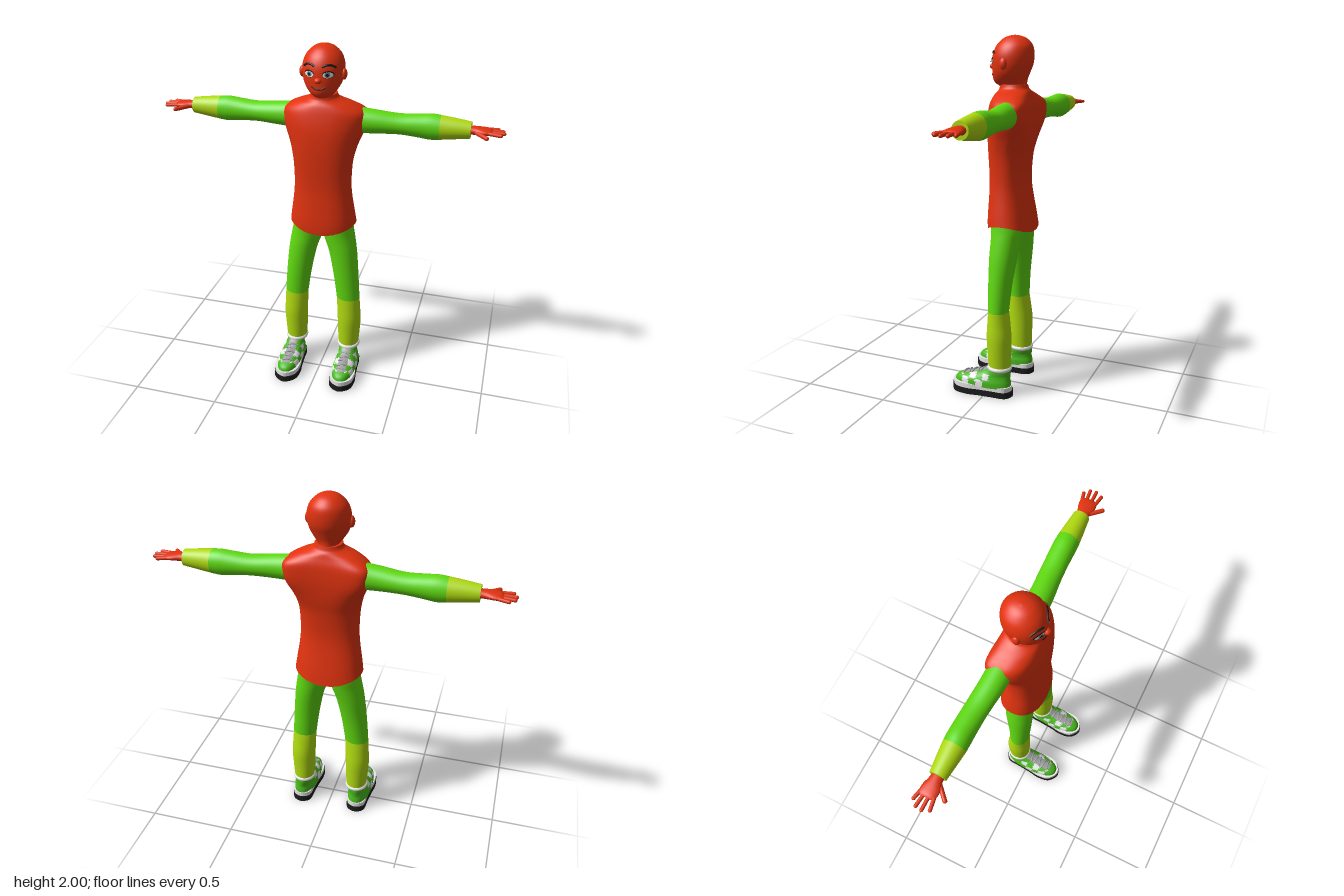
import * as THREE from 'three';

const mat = (name, color) => Object.assign(new THREE.MeshStandardMaterial({ color }), { name });

// Smoothly subdivide rings of [y, centreX, centreZ, radiusX, radiusZ, roundness]
function refine(rings, steps = 5) {
  const out = [], at = (i) => rings[Math.min(Math.max(i, 0), rings.length - 1)];
  for (let i = 0; i < rings.length - 1; i++) {
    for (let s = 0; s < steps; s++) {
      const t = s / steps;
      out.push(at(i).map((b, k) => {
        const a = at(i - 1)[k], c = at(i + 1)[k], d = at(i + 2)[k];
        return b + 0.5 * t * (c - a + t * (2 * a - 5 * b + 4 * c - d + t * (3 * (b - c) + d - a)));
      }));
    }
  }
  out.push(at(rings.length - 1));
  return out;
}

// Closed skin through rings listed from low to high; paint picks a material per quad
function loft(rings, { seg = 32, steps = 5, paint = null, bend = null } = {}) {
  const fine = refine(rings, steps), pos = [], faces = [[], [], []];
  const power = (v, n) => Math.sign(v) * Math.abs(v) ** (2 / n);
  const addRing = ([y, cx, cz, rx, rz, n = 2]) => {
    for (let j = 0; j < seg; j++) {
      const a = (j / seg) * Math.PI * 2;
      const p = new THREE.Vector3(cx + rx * power(Math.cos(a), n), y, cz + rz * power(Math.sin(a), n));
      if (bend) bend(p);
      pos.push(p.x, p.y, p.z);
    }
  };
  fine.forEach(addRing);
  const vert = (i) => new THREE.Vector3().fromArray(pos, i * 3);
  for (let i = 0; i < fine.length - 1; i++) {
    for (let j = 0; j < seg; j++) {
      const a = i * seg + j, b = i * seg + (j + 1) % seg, c = a + seg, d = b + seg;
      const m = paint ? paint(vert(a).add(vert(d)).multiplyScalar(0.5)) : 0;
      faces[m].push(a, c, b, b, c, d);
    }
  }
  for (const top of [false, true]) {
    const ring = fine[top ? fine.length - 1 : 0], base = pos.length / 3;
    addRing(ring);
    pos.push(ring[1], pos[base * 3 + 1], ring[2]);
    for (let j = 0; j < seg; j++) {
      const a = base + j, b = base + (j + 1) % seg;
      faces[0].push(base + seg, top ? b : a, top ? a : b);
    }
  }
  const g = new THREE.BufferGeometry();
  g.setAttribute('position', new THREE.Float32BufferAttribute(pos, 3));
  g.setIndex(faces.flat());
  if (paint) {
    let start = 0;
    faces.forEach((f, m) => { g.addGroup(start, f.length, m); start += f.length; });
  }
  g.computeVertexNormals();
  return g;
}

function mirrored(geo) {
  const g = geo.clone().scale(-1, 1, 1);
  const idx = g.index ? Array.from(g.index.array) : Array.from({ length: g.attributes.position.count }, (_, i) => i);
  for (let i = 0; i < idx.length; i += 3) [idx[i + 1], idx[i + 2]] = [idx[i + 2], idx[i + 1]];
  g.setIndex(idx);
  return g;
}

const ball = (x, y, z, sx, sy, sz) => new THREE.SphereGeometry(1, 24, 16).scale(sx, sy, sz).translate(x, y, z);
const tube = (pts, r) => new THREE.TubeGeometry(new THREE.CatmullRomCurve3(pts), 16, r, 8);

export function createModel() {
  const model = new THREE.Group();
  model.name = 'figure';
  const red = mat('red', 0xe2330f), green = mat('green', 0x60da10), lime = mat('lime', 0xb0da10);
  const shoeGreen = mat('shoe green', 0x48b81c), white = mat('white', 0xe8e8e8);
  const grey = mat('grey', 0xa0a0a0), black = mat('black', 0x1c1c1c), iris = mat('iris grey', 0x6a7880);

  const add = (name, geo, material) => {
    const m = new THREE.Mesh(geo, material);
    m.name = name;
    model.add(m);
  };
  const pair = (name, geo, material) => {
    add('left ' + name, geo, material);
    add('right ' + name, mirrored(geo), material);
  };

  // Torso with a curved hem and shoulders swept back
  add('shirt', loft([
    [0.99, 0, -0.088, 0.19, 0.126, 2.3], [1.05, 0, -0.082, 0.182, 0.122, 2.3], [1.2, 0, -0.072, 0.162, 0.102, 2.3],
    [1.35, 0, -0.072, 0.165, 0.108, 2.3], [1.45, 0, -0.078, 0.185, 0.118, 2.5], [1.53, 0, -0.082, 0.216, 0.121, 2.8],
    [1.59, 0, -0.085, 0.23, 0.118, 3], [1.645, 0, -0.088, 0.222, 0.11, 3], [1.685, 0, -0.088, 0.16, 0.098, 2.5],
    [1.708, 0, -0.09, 0.105, 0.088, 2], [1.722, 0, -0.088, 0.08, 0.08, 2], [1.742, 0, -0.086, 0.072, 0.076, 2],
  ], {
    seg: 48,
    bend: (p) => {
      const low = 1 - THREE.MathUtils.smoothstep(p.y, 0.99, 1.2);
      p.z -= 0.045 * (p.x / 0.23) ** 2 * THREE.MathUtils.smoothstep(p.y, 1.35, 1.55);
      p.y -= 0.048 * Math.max(0, 1 - (p.x / 0.19) ** 2) * low;
    },
  }), red);

  // Head and neck
  const headRings = [
    [1.69, 0, -0.086, 0.066, 0.072], [1.73, 0, -0.085, 0.06, 0.076], [1.747, 0, -0.071, 0.062, 0.088],
    [1.77, 0, -0.066, 0.08, 0.095], [1.805, 0, -0.071, 0.1, 0.102], [1.85, 0, -0.079, 0.111, 0.111],
    [1.9, 0, -0.084, 0.111, 0.111], [1.945, 0, -0.09, 0.095, 0.098], [1.978, 0, -0.092, 0.064, 0.069],
    [1.994, 0, -0.092, 0.034, 0.037], [2.0, 0, -0.092, 0.002, 0.002],
  ];
  add('head', loft(headRings, { seg: 48 }), red);
  const fineHead = refine(headRings);
  const onFace = (x, y, lift = 0) => {
    const i = fineHead.findIndex((r) => r[0] >= y), a = fineHead[i - 1], b = fineHead[i];
    const [, , cz, rx, rz] = a.map((v, k) => v + (b[k] - v) * (y - a[0]) / (b[0] - a[0]));
    return new THREE.Vector3(x, y, cz + rz * Math.sqrt(Math.max(0, 1 - (x / rx) ** 2)) + lift);
  };
  pair('ear', ball(0.112, 1.853, -0.07, 0.017, 0.031, 0.021), red);
  add('nose', ball(0, 1.835, 0.032, 0.02, 0.016, 0.022), red);

  // Eyes, brows and mouth laid over the face
  const disc = (cx, cy, rx, ry, lift) => {
    const g = new THREE.RingGeometry(0.001, 1, 28, 4).scale(rx, ry, 1).translate(cx, cy, 0), p = g.attributes.position;
    for (let i = 0; i < p.count; i++) p.setZ(i, onFace(p.getX(i), p.getY(i), lift).z);
    g.computeVertexNormals();
    return g;
  };
  pair('eye outline', disc(0.05, 1.867, 0.029, 0.019, 0.002), black);
  pair('eye white', disc(0.05, 1.865, 0.026, 0.015, 0.004), white);
  pair('iris', disc(0.048, 1.866, 0.0135, 0.0135, 0.006), iris);
  pair('pupil', disc(0.048, 1.866, 0.0075, 0.0075, 0.008), black);
  const faceLine = (pts, r) => tube(pts.map(([x, y]) => onFace(x, y)), r);
  pair('eyebrow', faceLine([[0.018, 1.904], [0.04, 1.913], [0.062, 1.913], [0.084, 1.9]], 0.006), black);
  add('mouth', faceLine([[-0.037, 1.8], [-0.02, 1.79], [0, 1.787], [0.02, 1.79], [0.037, 1.8]], 0.004), black);

  // Arms: lofted upright, then laid along +x
  const limb = (rings) => loft(rings.map(([x, y, z, ry, rz]) => [x, -y, z, ry, rz])).rotateZ(-Math.PI / 2);
  pair('upper sleeve', limb([
    [0.2, 1.592, -0.125, 0.07, 0.066], [0.28, 1.59, -0.128, 0.064, 0.064], [0.4, 1.586, -0.138, 0.056, 0.061],
    [0.5, 1.585, -0.143, 0.063, 0.061], [0.57, 1.584, -0.145, 0.07, 0.062], [0.62, 1.584, -0.145, 0.066, 0.061],
  ]), green);
  pair('forearm sleeve', limb([
    [0.62, 1.584, -0.145, 0.066, 0.061], [0.7, 1.585, -0.145, 0.056, 0.053], [0.78, 1.585, -0.145, 0.045, 0.044],
  ]), lime);

  // Hands with four fingers and a thumb
  pair('palm', limb([
    [0.76, 1.585, -0.145, 0.024, 0.032], [0.8, 1.586, -0.145, 0.022, 0.034],
    [0.84, 1.586, -0.145, 0.019, 0.046], [0.875, 1.585, -0.147, 0.015, 0.045], [0.89, 1.584, -0.147, 0.008, 0.036],
  ]), red);
  const finger = (x0, y0, z0, x1, y1, z1, r) => {
    const a = new THREE.Vector3(x0, y0, z0), b = new THREE.Vector3(x1, y1, z1), d = b.clone().sub(a);
    const q = new THREE.Quaternion().setFromUnitVectors(new THREE.Vector3(0, 1, 0), d.clone().normalize());
    const mid = a.add(b).multiplyScalar(0.5);
    return new THREE.CapsuleGeometry(r, d.length(), 6, 12).applyQuaternion(q).translate(mid.x, mid.y, mid.z);
  };
  [[-0.182, -0.196, 0.918], [-0.16, -0.17, 0.945], [-0.136, -0.137, 0.95], [-0.113, -0.101, 0.935]]
    .forEach(([z0, z1, tip], i) => pair('finger ' + (i + 1), finger(0.86, 1.585, z0, tip, 1.582, z1, 0.0095), red));
  pair('thumb', finger(0.805, 1.582, -0.122, 0.866, 1.576, -0.062, 0.0115), red);

  // Trouser legs, split at the knee
  pair('thigh', loft([
    [0.5, 0.159, -0.065, 0.069, 0.057], [0.65, 0.143, -0.068, 0.074, 0.066], [0.8, 0.121, -0.077, 0.082, 0.078],
    [0.9, 0.096, -0.084, 0.091, 0.085], [0.96, 0.088, -0.087, 0.088, 0.09], [1.05, 0.085, -0.085, 0.08, 0.085],
  ]), green);
  pair('shin', loft([
    [0.16, 0.165, -0.075, 0.059, 0.064], [0.25, 0.166, -0.073, 0.066, 0.067], [0.35, 0.167, -0.071, 0.07, 0.07],
    [0.43, 0.163, -0.068, 0.069, 0.064], [0.5, 0.159, -0.065, 0.069, 0.057],
  ]), lime);

  // Shoes: flat soles
  const half = [[0.05, -0.13], [0.06, -0.05], [0.067, 0.03], [0.076, 0.1], [0.062, 0.175]];
  const sole = (scale, y, h) => {
    const outline = [[0, -0.155], ...half, [0, 0.215], ...half.map(([x, z]) => [-x, z]).reverse()];
    const curve = new THREE.CatmullRomCurve3(outline.map(([x, z]) => new THREE.Vector3(x, -z, 0)), true);
    const shape = new THREE.Shape(curve.getPoints(48).slice(0, -1).map((p) => new THREE.Vector2(p.x * scale, (p.y + 0.03) * scale - 0.03)));
    return new THREE.ExtrudeGeometry(shape, { depth: h, bevelEnabled: false }).rotateX(-Math.PI / 2).translate(0.172, y, 0);
  };
  pair('sole', sole(1, 0, 0.035), black);
  pair('midsole', sole(0.97, 0.035, 0.027), white);

  // Shoe uppers with checked side panels and a tongue
  pair('shoe upper', loft([
    [0.055, 0.172, 0.027, 0.069, 0.172, 2.4], [0.082, 0.172, 0.023, 0.067, 0.165, 2.3], [0.1, 0.172, 0.008, 0.061, 0.147, 2.2],
    [0.12, 0.17, -0.025, 0.055, 0.115, 2], [0.138, 0.168, -0.054, 0.053, 0.087, 2], [0.162, 0.166, -0.073, 0.053, 0.066, 2],
  ], {
    seg: 72,
    paint: (p) => {
      const dx = Math.abs(p.x - 0.17);
      if (dx < 0.026 && p.z > -0.03 && p.y > 0.1) return 2;
      const check = (Math.floor((p.z + 0.2) / 0.042) + (p.y > 0.096 ? 1 : 0)) % 2;
      return p.z > -0.03 && p.z < 0.15 && p.y < 0.13 && check ? 1 : 0;
    },
  }), [shoeGreen, white, grey]);
  for (let i = 0; i < 5; i++) {
    const z = 0.022 + i * 0.028, y = 0.145 - i * 0.0085;
    const s = i % 2 ? -1 : 1;
    pair('lace ' + (i + 1), tube([
      new THREE.Vector3(0.138, y - 0.008, z - 0.006 * s), new THREE.Vector3(0.17, y + 0.002, z), new THREE.Vector3(0.202, y - 0.008, z + 0.006 * s),
    ], 0.005), grey);
  }
  pair('sock cuff', new THREE.TorusGeometry(0.054, 0.014, 12, 36).rotateX(Math.PI / 2).scale(1, 1, 1.06).translate(0.166, 0.164, -0.074), white);

  return model;
}
